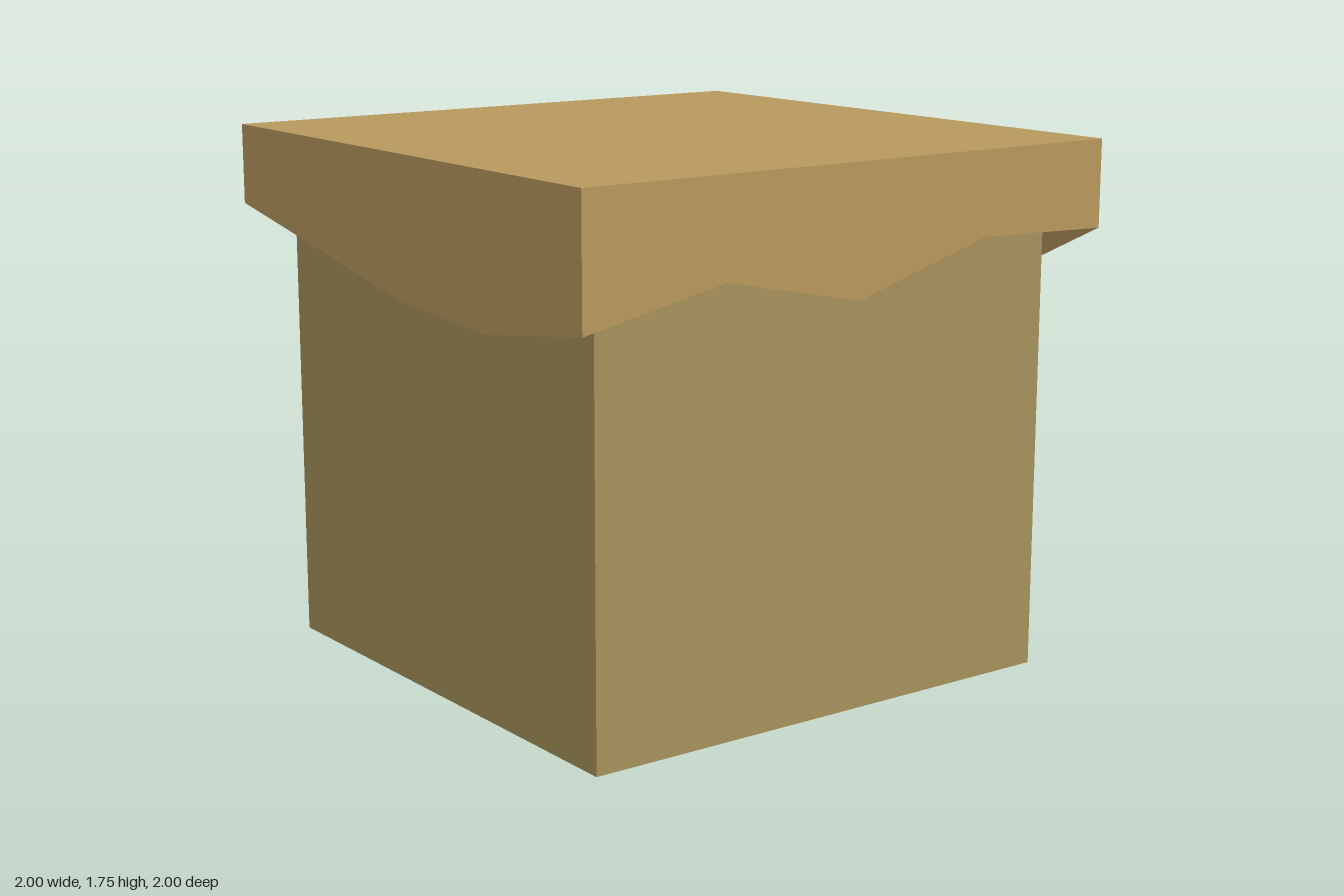
import * as THREE from 'three';

const CAP_TOP = 1.75, UNDERSIDE = 1.475, LIP = 0.032;

// Heights of the ragged lower edge, five per side, running round the cap
const EDGE = [
  [1.34, 1.44, 1.335, 1.48, 1.465],  // front, -x to +x
  [1.465, 1.22, 1.325, 1.25, 1.48],  // left (+x), front to back
  [1.48, 1.483, 1.485, 1.49, 1.485], // back, +x to -x
  [1.485, 1.395, 1.3, 1.27, 1.34],   // right (-x), back to front
];

// Square outline points of the given half size; y is a number or follows the edge
function ring(half, y) {
  const points = [];
  EDGE.forEach((heights, side) => {
    for (let i = 0; i < 4; i++) {
      const p = new THREE.Vector3(-half + (half * i) / 2, y ?? heights[i], half);
      points.push(p.applyAxisAngle(new THREE.Vector3(0, 1, 0), (side * Math.PI) / 2));
    }
  });
  return points;
}

// Skin consecutive rings; rings of zero size close the ends as fans
function loft(rings) {
  const pos = [];
  const tri = (...pts) => pts.forEach((p) => pos.push(p.x, p.y, p.z));
  for (let r = 0; r < rings.length - 1; r++) {
    const up = rings[r], low = rings[r + 1], n = up.length;
    for (let i = 0; i < n; i++) {
      const j = (i + 1) % n;
      if (low[i].distanceTo(low[j]) > 1e-6) tri(up[i], low[i], low[j]);
      if (up[i].distanceTo(up[j]) > 1e-6) tri(up[i], low[j], up[j]);
    }
  }
  const geometry = new THREE.BufferGeometry();
  geometry.setAttribute('position', new THREE.Float32BufferAttribute(pos, 3));
  geometry.computeVertexNormals();
  return geometry;
}

function addPart(group, name, geometry, color) {
  const mesh = new THREE.Mesh(geometry, new THREE.MeshStandardMaterial({ color, flatShading: true }));
  mesh.name = name;
  group.add(mesh);
  return mesh;
}

export function createModel() {
  const group = new THREE.Group();
  group.name = 'cappedBlock';

  // Plain block under the cap
  addPart(group, 'block', new THREE.BoxGeometry(1.75, UNDERSIDE, 1.75), 0xa8935c)
    .position.y = UNDERSIDE / 2;

  // Overhanging cap: flat top, ragged skirt, thin tapering lip and flat underside
  addPart(group, 'cap', loft([
    ring(0, CAP_TOP),
    ring(1, CAP_TOP),
    ring(1),
    ring(1 - LIP, UNDERSIDE),
    ring(0, UNDERSIDE),
  ]), 0xba9a5f);

  return group;
}
